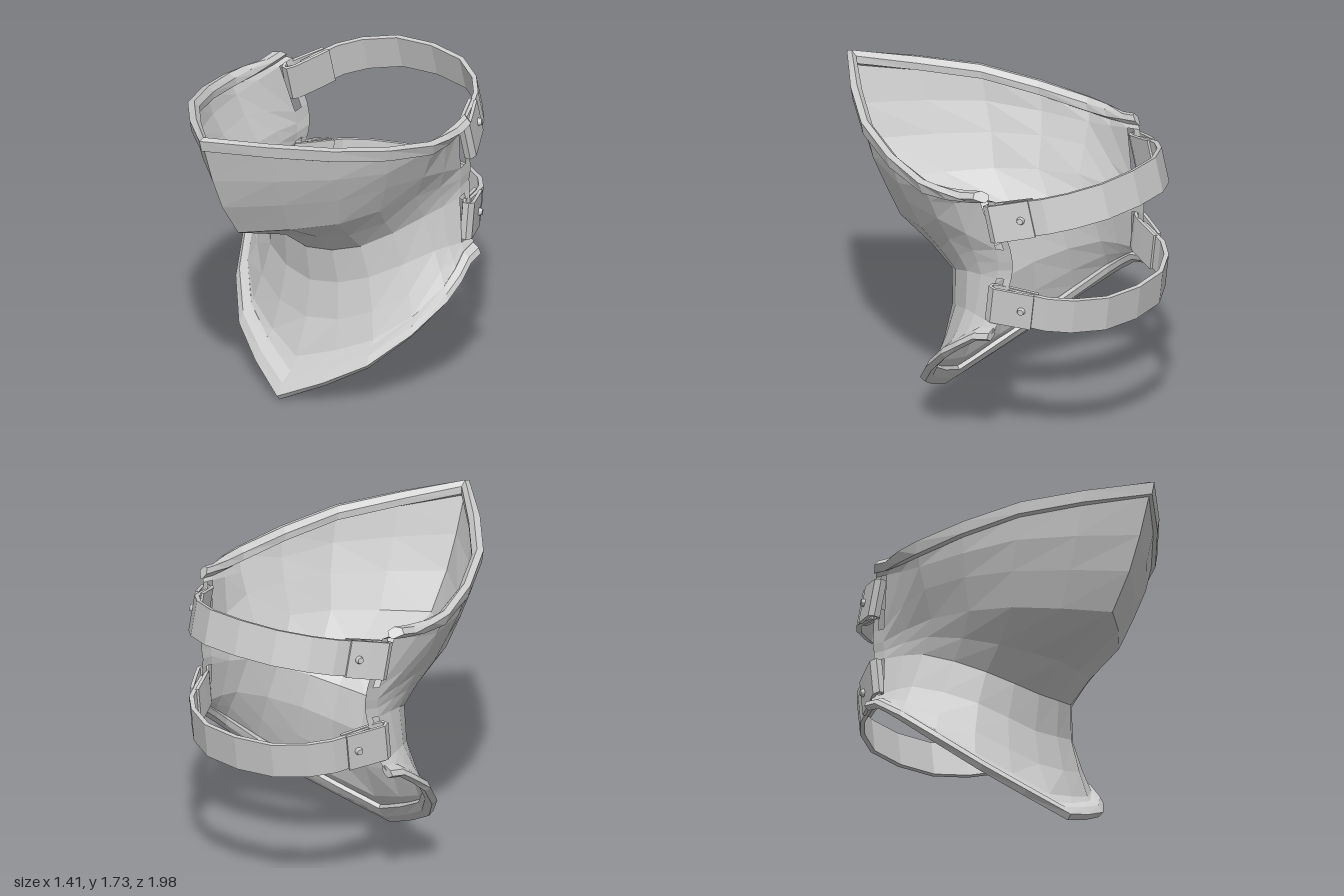
import * as THREE from 'three';

const material = new THREE.MeshStandardMaterial({ color: 0xcccccc, flatShading: true, side: THREE.DoubleSide });

// Ribs of the plate, each running from the top border to the bottom border
const FRONT_RIB = [[0, 1.68, .95], [0, 1.45, .87], [0, 1.27, .79], [0, 1.08, .66], [0, .93, .27],
  [0, .8, .1], [0, .6, .07], [0, .4, .1], [0, .2, .18], [0, .03, .31]];
const CHEEK_RIB = [[.47, 1.58, .46], [.46, 1.43, .42], [.43, 1.28, .36], [.38, 1.11, .3], [.32, .97, .14],
  [.3, .86, .02], [.33, .68, -.01], [.37, .5, .01], [.4, .36, .04], [.42, .25, .1]];
const SIDE_RIB = [[.675, 1.48, -.1], [.645, 1.4, -.12], [.6, 1.29, -.13], [.53, 1.15, -.15], [.51, 1.07, -.2],
  [.5, .99, -.25], [.55, .8, -.28], [.6, .7, -.27], [.645, .62, -.25], [.665, .57, -.24]];
const BACK_RIB = [[.645, 1.49, -.37], [.6, 1.47, -.42], [.555, 1.2, -.49], [.55, 1.13, -.5], [.545, 1.08, -.495],
  [.55, 1.03, -.49], [.595, .8, -.45], [.62, .76, -.44], [.64, .73, -.43], [.65, .71, -.43]];

// Full row, running from the right back edge round the front to the left
function plateRow(i) {
  const controls = [FRONT_RIB, CHEEK_RIB, SIDE_RIB, BACK_RIB].map((rib) => new THREE.Vector3(...rib[i]));
  // The throat is rounded at the centre, the other rows come to a point
  const rounded = i >= 5 && i <= 7;
  if (rounded) controls.unshift(controls[1].clone().setX(-controls[1].x));
  const curve = new THREE.CatmullRomCurve3(controls);
  const half = [];
  for (let k = 0; k <= 6; k++) {
    half.push(curve.getPoint((k / 2 + (rounded ? 1 : 0)) / (controls.length - 1)));
  }
  // Slot column and back edge
  for (let k = 1; k <= 2; k++) {
    half.push(half[6].clone().add(new THREE.Vector3(-.005, .01, -.045).multiplyScalar(k)));
  }
  return [...half.slice(1).reverse().map((p) => p.clone().setX(-p.x)), ...half];
}

function addMesh(parent, geometry, name) {
  const mesh = new THREE.Mesh(geometry, material);
  mesh.name = name;
  parent.add(mesh);
  return mesh;
}

// Quads between neighbouring sections; skip(i, j) leaves a hole
function loft(sections, skip = () => false) {
  const n = sections[0].length;
  const index = [];
  for (let i = 0; i < sections.length - 1; i++) {
    for (let j = 0; j < n - 1; j++) {
      if (skip(i, j)) continue;
      const a = i * n + j, b = a + n;
      index.push(a, b, a + 1, a + 1, b, b + 1);
    }
  }
  const indexed = new THREE.BufferGeometry().setFromPoints(sections.flat());
  indexed.setIndex(index);
  const geometry = indexed.toNonIndexed();
  geometry.computeVertexNormals();
  return geometry;
}

// Raised border: a profile of [outward, along plate] offsets swept on a row
function border(row, next, profile, side, width) {
  const sections = row.map((p, i) => {
    const before = row[Math.max(i - 1, 0)], after = row[Math.min(i + 1, row.length - 1)];
    const tangent = after.clone().sub(before).normalize();
    const along = next[i].clone().sub(p);
    const reach = width(along.length());
    along.normalize();
    const out = along.clone().cross(tangent).multiplyScalar(-side).normalize();
    return [...profile, profile[0]].map(([a, b]) =>
      p.clone().addScaledVector(out, -a).addScaledVector(along, b * reach));
  });
  // Collapsed sections close both ends
  const cap = (section) => {
    const c = new THREE.Vector3();
    section.slice(1).forEach((p) => c.add(p));
    c.divideScalar(section.length - 1);
    return section.map(() => c.clone());
  };
  return loft([cap(sections[0]), ...sections, cap(sections.at(-1))]);
}

// Upright band of constant thickness following a path of [x, z] points
function band(path, height, thickness) {
  const points = path.map((p) => new THREE.Vector2(...p));
  const offset = (d) => points.map((p, i) => {
    const t = points[Math.min(i + 1, points.length - 1)].clone()
      .sub(points[Math.max(i - 1, 0)]).normalize();
    return new THREE.Vector2(p.x - t.y * d, p.y + t.x * d);
  });
  const shape = new THREE.Shape([...offset(thickness / 2), ...offset(-thickness / 2).reverse()]);
  return new THREE.ExtrudeGeometry(shape, { depth: height, bevelEnabled: false })
    .translate(0, 0, -height / 2).rotateX(Math.PI / 2);
}

// Strap with a folded, riveted end clip on each side
function createStrap(name, y, tilt) {
  const strap = new THREE.Group();
  strap.name = name;
  strap.position.set(0, y, -.5);
  strap.rotation.x = tilt;

  const half = [[.545, -.06], [.505, -.17], [.465, -.26], [.375, -.36], [.215, -.455]];
  const path = [...half, [0, -.483], ...half.map(([x, z]) => [-x, z]).reverse()];
  addMesh(strap, band(path, .19, .025), 'strapBand');

  const fold = [[.475, -.2], [.52, -.09], [.555, -.01], [.58, .022], [.605, .02], [.612, -.01], [.565, -.1], [.51, -.2]];
  for (const s of [1, -1]) {
    const label = s > 0 ? 'left' : 'right';
    addMesh(strap, band(fold.map(([x, z]) => [s * x, z]), .2, .018), label + 'Clip');
    const rivet = addMesh(strap, new THREE.CylinderGeometry(.016, .025, .03, 10), label + 'Rivet');
    rivet.position.set(s * .55, 0, -.155);
    rivet.quaternion.setFromUnitVectors(new THREE.Vector3(0, 1, 0), new THREE.Vector3(s * .89, 0, -.45).normalize());
  }
  return strap;
}

export function createModel() {
  const model = new THREE.Group();
  model.name = 'neckGuard';
  const rows = FRONT_RIB.map((_, i) => plateRow(i));

  // Plate with two strap slots near each back edge
  addMesh(model, loft(rows, (i, j) => (i === 1 || i === 5) && (j === 1 || j === 14)), 'plate');

  // Rolled top and bottom borders
  const topProfile = [[-.015, -.045], [.02, -.045], [.04, -.01], [.03, .03], [0, .035], [-.02, .02]];
  addMesh(model, border(rows[0], rows[1], topProfile, -1, () => 1), 'topBorder');
  const bottomProfile = [[-.025, -.15], [.01, -.2], [.028, .4], [.022, .95], [0, 1], [-.025, .4]];
  addMesh(model, border(rows[9], rows[8], bottomProfile, 1, (d) => .05 + .38 * d), 'bottomBorder');

  model.add(createStrap('upperStrap', 1.365, .27));
  model.add(createStrap('lowerStrap', .91, -.125));
  return model;
}
